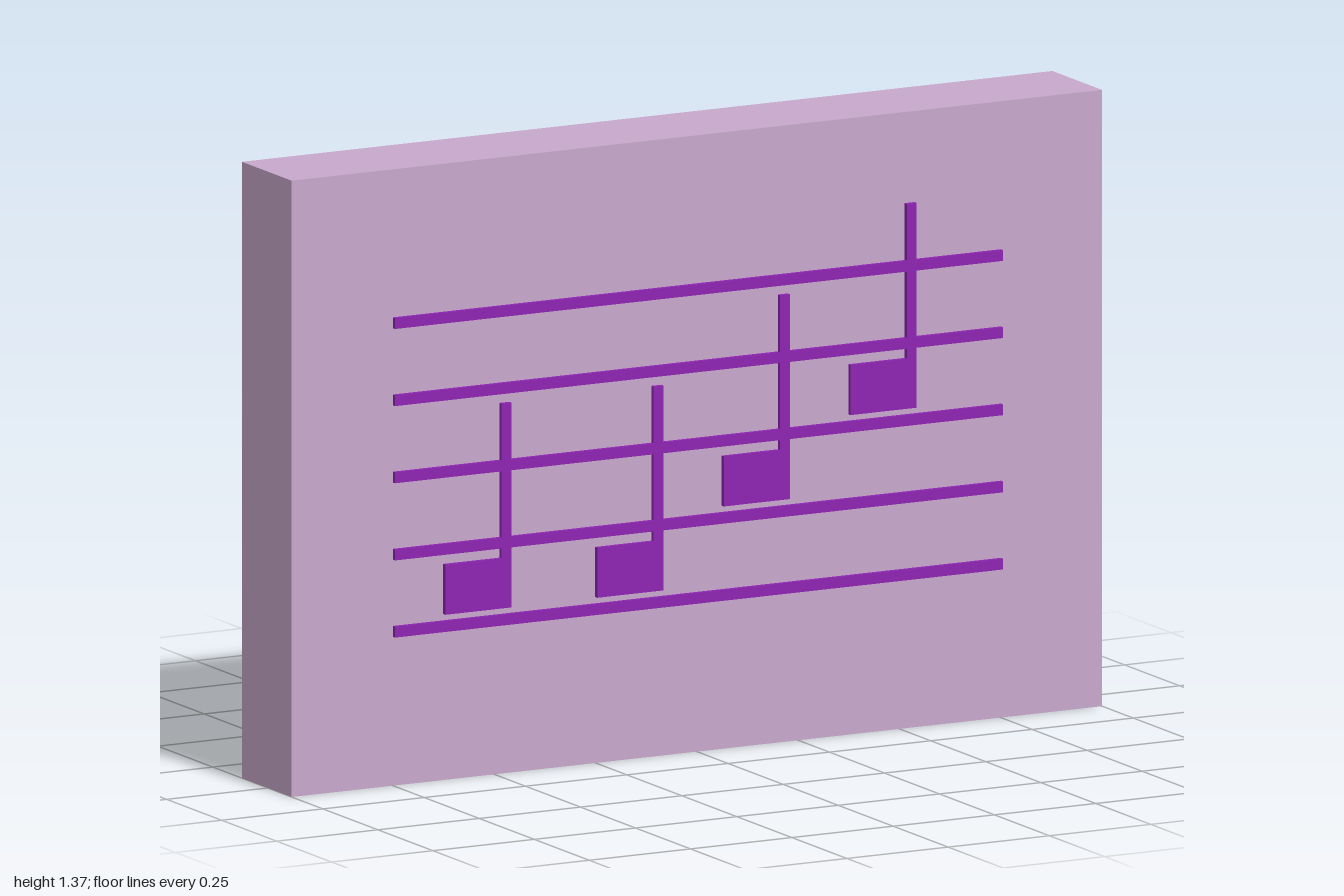
import * as THREE from 'three';

const FRONT = 0.108; // front face of the panel
const RELIEF = 0.01; // how far the notation stands proud
const BAR = 0.024; // thickness of lines and stems
const STEP = 0.171; // spacing between staff lines

const lilac = new THREE.MeshStandardMaterial({ color: 0xc8a8cc });
const purple = new THREE.MeshStandardMaterial({ color: 0x8e24b4 });

// Box given by its left, bottom and back corner
function block(name, x, y, z, w, h, d, material) {
  const mesh = new THREE.Mesh(new THREE.BoxGeometry(w, h, d), material);
  mesh.position.set(x + w / 2, y + h / 2, z + d / 2);
  mesh.name = name;
  return mesh;
}

const raised = (name, x, y, w, h) => block(name, x, y, FRONT, w, h, RELIEF, purple);

// Square note head with a stem rising along its right edge
function createNote(x, y) {
  const note = new THREE.Group();
  const headWidth = 0.163, headHeight = 0.111, stemHeight = 0.454;
  note.name = 'note';
  note.add(raised('noteHead', x, y, headWidth - BAR, headHeight));
  note.add(raised('noteStem', x + headWidth - BAR, y, BAR, stemHeight));
  return note;
}

export function createModel() {
  const model = new THREE.Group();
  model.name = 'musicPanel';

  // Backing slab
  model.add(block('panel', -1, 0, -0.118, 2, 1.366, FRONT + 0.118, lilac));

  // Five staff lines
  const staff = new THREE.Group();
  staff.name = 'staff';
  for (let i = 0; i < 5; i++) {
    staff.add(raised('staffLine', -0.75, 0.342 + i * STEP - BAR / 2, 1.5, BAR));
  }
  model.add(staff);

  // Four notes, the last two climbing one step each
  const notes = [[-0.626, 0], [-0.251, 0], [0.061, 1], [0.374, 2]];
  for (const [x, step] of notes) model.add(createNote(x, 0.368 + step * STEP));

  return model;
}
